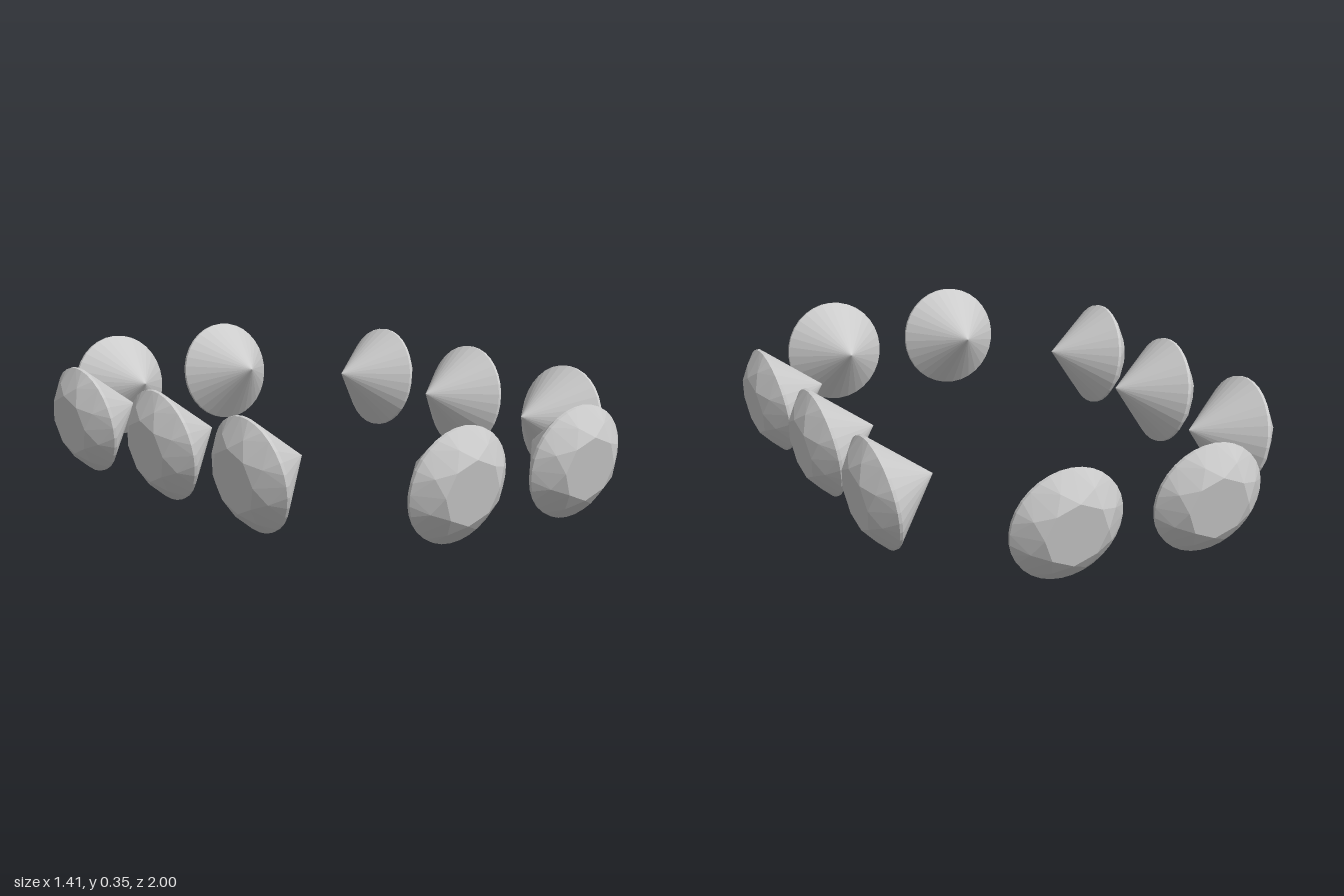
import * as THREE from 'three';

const R = 0.177, TABLE_R = 0.1, STAR_R = 0.138;         // girdle, table and star-tip radii
const TABLE_H = 0.067, STAR_H = 0.043, GIRDLE = 0.005;  // heights along the stone's axis
const CULET = -0.183, SIDES = 32, TILT = 0.17;

// One round brilliant; the table faces +z and the point -z
function brilliantGeometry() {
  const pos = [];
  const tri = (...pts) => pts.forEach((p) => pos.push(...p));
  const ring = (r, z, k) => {
    const a = (k / SIDES) * Math.PI * 2;
    return [r * Math.cos(a), r * Math.sin(a), z];
  };
  const table = (i) => ring(TABLE_R, TABLE_H, i * 4);
  const star = (i) => ring(STAR_R, STAR_H, i * 4 + 2);
  const upper = (k) => ring(R, GIRDLE, k);
  const lower = (k) => ring(R, -GIRDLE, k);

  for (let i = 0; i < 8; i++) {
    tri([0, 0, TABLE_H], table(i), table(i + 1));       // table
    tri(table(i), star(i), table(i + 1));               // star facet
    tri(table(i), star(i - 1), upper(4 * i));           // kite facet
    tri(table(i), upper(4 * i), star(i));
    for (let k = 4 * i; k < 4 * i + 4; k++) {
      tri(star(i), upper(k), upper(k + 1));             // upper girdle facets
    }
  }
  for (let k = 0; k < SIDES; k++) {
    tri(lower(k), lower(k + 1), upper(k + 1));          // girdle band
    tri(lower(k), upper(k + 1), upper(k));
    tri([0, 0, CULET], lower(k + 1), lower(k));         // pavilion
  }
  const geometry = new THREE.BufferGeometry();
  geometry.setAttribute('position', new THREE.Float32BufferAttribute(pos, 3));
  geometry.computeVertexNormals();
  return geometry;
}

export function createModel() {
  const model = new THREE.Group();
  model.name = 'gemRing';
  const geometry = brilliantGeometry();
  const material = new THREE.MeshStandardMaterial({ color: 0xcccccc, flatShading: true });

  // Each stone looks outward and leans slightly downward
  const addGem = (name, x, z, heading) => {
    const gem = new THREE.Mesh(geometry, material);
    gem.name = name;
    gem.position.set(x, 0.176, z);
    gem.rotation.set(TILT, heading, 0, 'YXZ');
    model.add(gem);
  };

  for (const s of [1, -1]) {
    const side = s > 0 ? 'left' : 'right';
    // Three stones along each side
    [0.472, 0, -0.472].forEach((z, i) => addGem(`${side}Gem${i + 1}`, s * 0.62, z, s * Math.PI / 2));
    // One of each end pair
    addGem(`${side}FrontGem`, s * 0.23, 0.919, 0);
    addGem(`${side}BackGem`, s * 0.23, -0.919, Math.PI);
  }
  return model;
}
